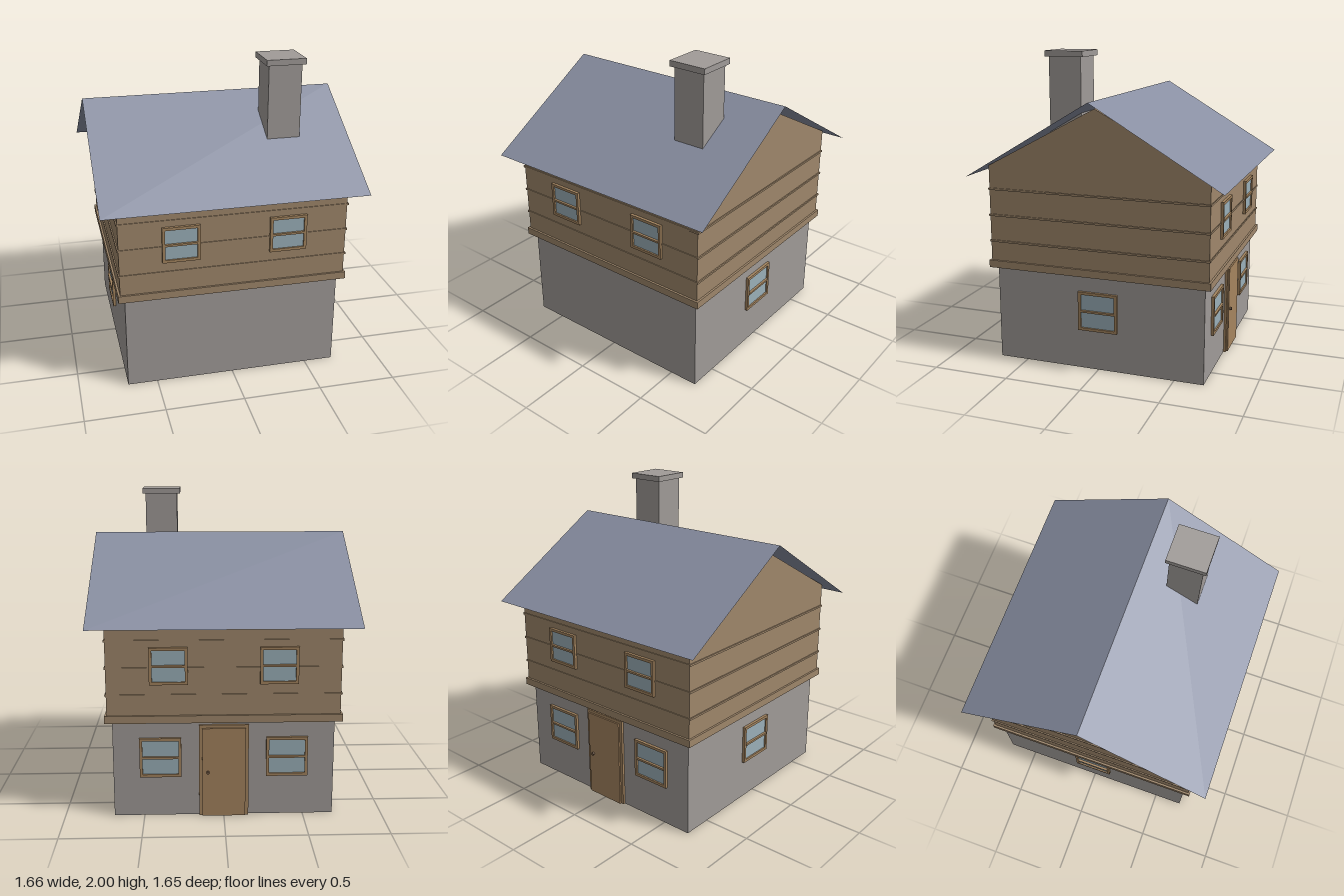
import * as THREE from 'three';

const mat = (name, color, side = THREE.FrontSide) => {
  const m = new THREE.MeshStandardMaterial({ color, side });
  m.name = name;
  return m;
};

export function createModel() {
  const house = new THREE.Group();
  house.name = 'house';

  const stone = mat('stone grey', 0xa09b98);
  const wood = mat('timber brown', 0x9f876b);
  const trimWood = mat('frame brown', 0xa3845f);
  const doorWood = mat('door brown', 0xa5845f);
  const slate = mat('slate blue', 0x898fa2, THREE.DoubleSide);
  const glass = mat('window glass', 0x9bb0b9);
  const metal = mat('knob brown', 0x6b5440);

  const add = (parent, name, geometry, material, x = 0, y = 0, z = 0) => {
    const mesh = new THREE.Mesh(geometry, material);
    mesh.name = name;
    mesh.position.set(x, y, z);
    parent.add(mesh);
    return mesh;
  };
  const box = (parent, name, material, w, h, d, x, y, z) =>
    add(parent, name, new THREE.BoxGeometry(w, h, d), material, x, y, z);

  // Stone ground floor and the ledge above it
  box(house, 'groundFloor', stone, 1.38, 0.63, 1.38, 0, 0.315, 0);
  box(house, 'ledge', wood, 1.466, 0.048, 1.466, 0, 0.647, 0);

  // Timber upper floor with gable ends
  const W = 0.72;
  const gable = new THREE.Shape([
    [-W, 0.66], [W, 0.66], [W, 1.29], [0, 1.673], [-W, 1.29],
  ].map(([a, b]) => new THREE.Vector2(a, b)));
  const upper = new THREE.ExtrudeGeometry(gable, { depth: 2 * W, bevelEnabled: false });
  upper.translate(0, 0, -W).rotateY(Math.PI / 2);
  add(house, 'upperFloor', upper, wood);

  // Thin plank battens around the upper floor
  for (const y of [0.8, 0.97, 1.14]) {
    box(house, 'plankBatten', wood, 1.456, 0.012, 1.45, 0, y, 0);
  }

  // Roof: two thin sloping sheets
  for (const s of [-1, 1]) {
    const sheet = new THREE.PlaneGeometry(1.656, 1);
    const p = sheet.attributes.position;
    for (let i = 0; i < p.count; i++) {
      const ridge = p.getY(i) > 0;
      p.setXYZ(i, p.getX(i) * s, ridge ? 1.72 : 1.23, ridge ? 0 : 0.825 * s);
    }
    sheet.computeVertexNormals();
    add(house, s > 0 ? 'roofFront' : 'roofBack', sheet, slate);
  }

  // Chimney
  const chimney = new THREE.Group();
  chimney.name = 'chimney';
  chimney.position.set(0.397, 0, 0.28);
  box(chimney, 'chimneyShaft', stone, 0.214, 0.67, 0.214, 0, 1.635, 0);
  box(chimney, 'chimneyCap', stone, 0.254, 0.037, 0.254, 0, 1.9815, 0);
  house.add(chimney);

  // Window with hollow frame, pane and crossbar, facing local +z
  const addWindow = (w, h, x, y, z, turn) => {
    const g = new THREE.Group();
    g.name = 'window';
    const rect = (Type, a, b) => {
      const r = new Type();
      r.moveTo(-a, -b).lineTo(a, -b).lineTo(a, b).lineTo(-a, b).closePath();
      return r;
    };
    const frame = rect(THREE.Shape, w / 2, h / 2);
    frame.holes.push(rect(THREE.Path, w / 2 - 0.018, h / 2 - 0.018));
    add(g, 'windowFrame',
      new THREE.ExtrudeGeometry(frame, { depth: 0.018, bevelEnabled: false }), trimWood);
    box(g, 'windowPane', glass, w - 0.036, h - 0.036, 0.008, 0, 0, 0.004);
    box(g, 'windowCrossbar', trimWood, w - 0.036, 0.013, 0.022, 0, 0, 0.012);
    g.position.set(x, y, z);
    g.rotation.y = turn;
    house.add(g);
  };

  const half = Math.PI / 2;
  for (const s of [-1, 1]) {
    addWindow(0.236, 0.232, s * 0.338, 0.985, W, 0);
    addWindow(0.236, 0.232, s * 0.338, 0.985, -W, Math.PI);
    addWindow(0.26, 0.255, s * 0.395, 0.388, -0.69, Math.PI);
    addWindow(0.26, 0.255, s * 0.69, 0.388, 0, s * half);
  }

  // Back door with frame and knob
  const door = new THREE.Group();
  door.name = 'door';
  door.position.z = -0.69;
  for (const s of [-1, 1]) {
    box(door, 'doorPost', trimWood, 0.02, 0.6, 0.016, s * 0.145, 0.3, -0.008);
  }
  box(door, 'doorLintel', trimWood, 0.27, 0.02, 0.016, 0, 0.59, -0.008);
  box(door, 'doorLeaf', doorWood, 0.27, 0.58, 0.026, 0, 0.29, -0.013);
  const knob = new THREE.CylinderGeometry(0.01, 0.01, 0.014, 12).rotateX(half);
  add(door, 'doorKnob', knob, metal, 0.1, 0.292, -0.032);
  house.add(door);

  return house;
}
